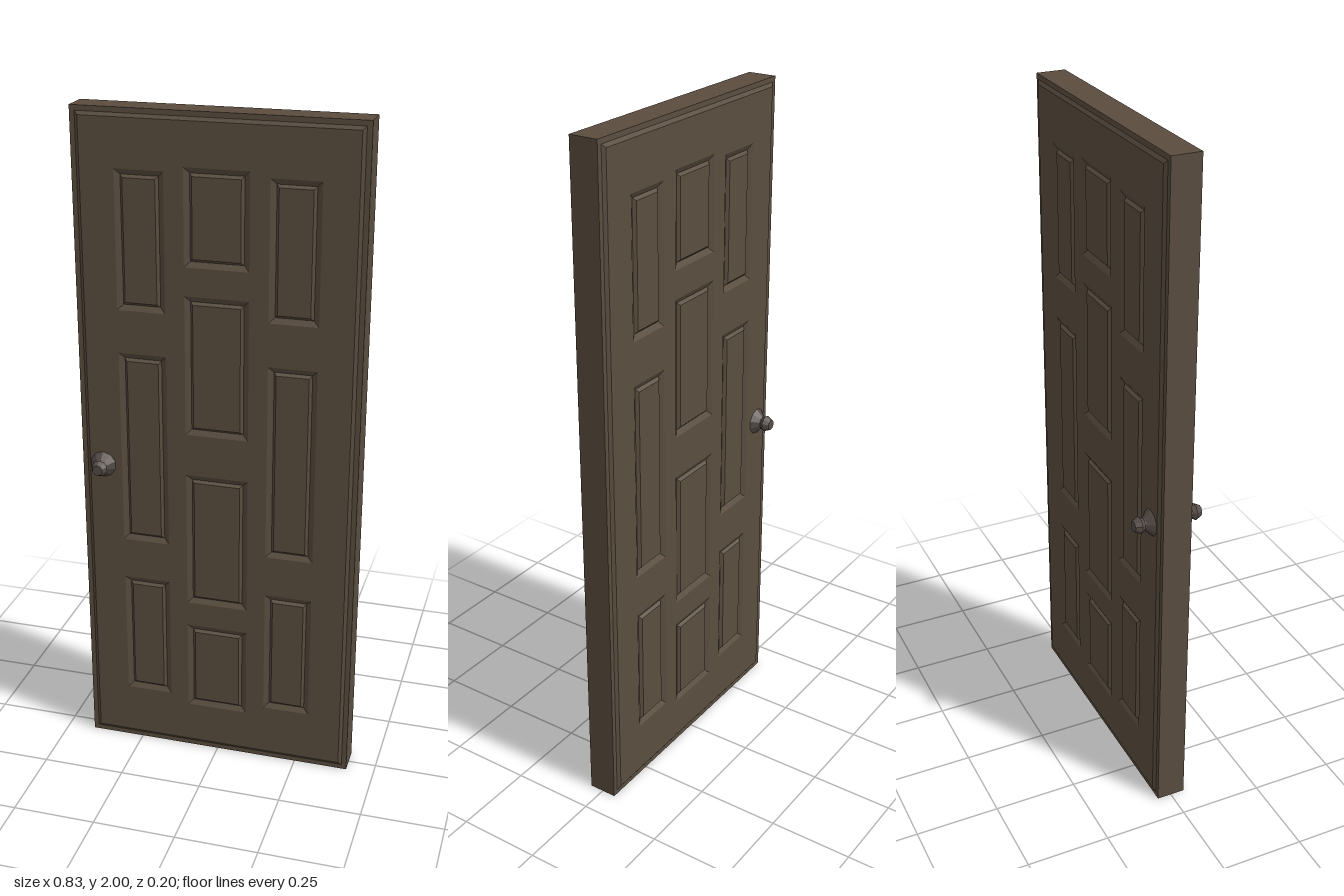
import * as THREE from 'three';

const W = 0.415, H = 2, FRAME_Z = 0.043, FACE_Z = 0.05;

// Rectangle as [x0, y0, x1, y1], shrunk by d on every side
const inset = ([x0, y0, x1, y1], d) => [x0 + d, y0 + d, x1 - d, y1 - d];
const corners = ([x0, y0, x1, y1]) => [[x0, y0], [x1, y0], [x1, y1], [x0, y1]];
const toPoints = (r) => corners(r).map(([x, y]) => new THREE.Vector2(x, y));

// Bands between nested rectangles, given as [inset, z] steps; optionally closed in the middle
function steppedRect(rect, steps, closed) {
  const rings = steps.map(([d, z]) => corners(inset(rect, d)).map(([x, y]) => [x, y, z]));
  const pos = [];
  const quad = (a, b, c, d) => pos.push(...a, ...b, ...c, ...a, ...c, ...d);
  for (let k = 0; k < rings.length - 1; k++) {
    for (let i = 0; i < 4; i++) {
      const j = (i + 1) % 4;
      quad(rings[k][i], rings[k][j], rings[k + 1][j], rings[k + 1][i]);
    }
  }
  if (closed) quad(...rings[rings.length - 1]);
  const g = new THREE.BufferGeometry();
  g.setAttribute('position', new THREE.Float32BufferAttribute(pos, 3));
  g.computeVertexNormals();
  return g;
}

export function createModel() {
  const door = new THREE.Group();
  door.name = 'door';
  const wood = new THREE.MeshStandardMaterial({ color: 0x5a4d3f });
  const metal = new THREE.MeshStandardMaterial({ color: 0x554c48, flatShading: true });
  const add = (parent, name, geometry, material) => {
    const mesh = new THREE.Mesh(geometry, material);
    mesh.name = name;
    parent.add(mesh);
    return mesh;
  };

  // Outer frame, open in the middle
  const leaf = [-0.4, 0.015, 0.4, 1.985];
  const outline = new THREE.Shape(toPoints([-W, 0, W, H]));
  outline.holes.push(new THREE.Path(toPoints(leaf)));
  const frame = new THREE.ExtrudeGeometry(outline, { depth: 2 * FRAME_Z, bevelEnabled: false });
  frame.translate(0, 0, -FRAME_Z);
  add(door, 'frame', frame, wood);

  // Panel layout: two side columns and a staggered middle column
  const panels = [];
  for (const x of [-0.22, 0.22]) {
    for (const [y0, y1] of [[0.2, 0.565], [0.725, 1.29], [1.45, 1.82]]) {
      panels.push([x - 0.055, y0, x + 0.055, y1]);
    }
  }
  for (const [y0, y1] of [[0.17, 0.425], [0.535, 0.93], [1.09, 1.475], [1.59, 1.835]]) {
    panels.push([-0.077, y0, 0.077, y1]);
  }

  // Each side: chamfered edge, flat face with openings, grooved raised panels
  const margin = 0.016;
  const faceShape = new THREE.Shape(toPoints(inset(leaf, 0.01)));
  for (const p of panels) faceShape.holes.push(new THREE.Path(toPoints(inset(p, -margin))));
  const faceGeometry = new THREE.ShapeGeometry(faceShape).translate(0, 0, FACE_Z);
  const edgeGeometry = steppedRect(leaf, [[0, FRAME_Z], [0.01, FACE_Z]], false);
  const panelSteps = [[-margin, FACE_Z], [0, 0.041], [0.008, 0.049]];

  // Knob: flared rose and faceted grip
  const profile = [[0.045, 0.045], [0.019, 0.07], [0.018, 0.073], [0.025, 0.084], [0.016, 0.102], [0, 0.102]]
    .map(([r, y]) => new THREE.Vector2(r, y));
  const knobGeometry = new THREE.LatheGeometry(profile, 10).rotateX(Math.PI / 2);

  for (const [side, turn] of [['front', 0], ['back', Math.PI]]) {
    const face = new THREE.Group();
    face.name = side + 'Face';
    face.rotation.y = turn;
    door.add(face);
    add(face, 'leafFace', faceGeometry, wood);
    add(face, 'leafEdge', edgeGeometry, wood);
    panels.forEach((p, i) => add(face, 'panel' + (i + 1), steppedRect(p, panelSteps, true), wood));
    // Both knobs share the same edge of the door
    const knob = add(face, 'knob', knobGeometry, metal);
    knob.position.set(turn ? 0.35 : -0.35, 0.95, 0);
  }
  return door;
}
